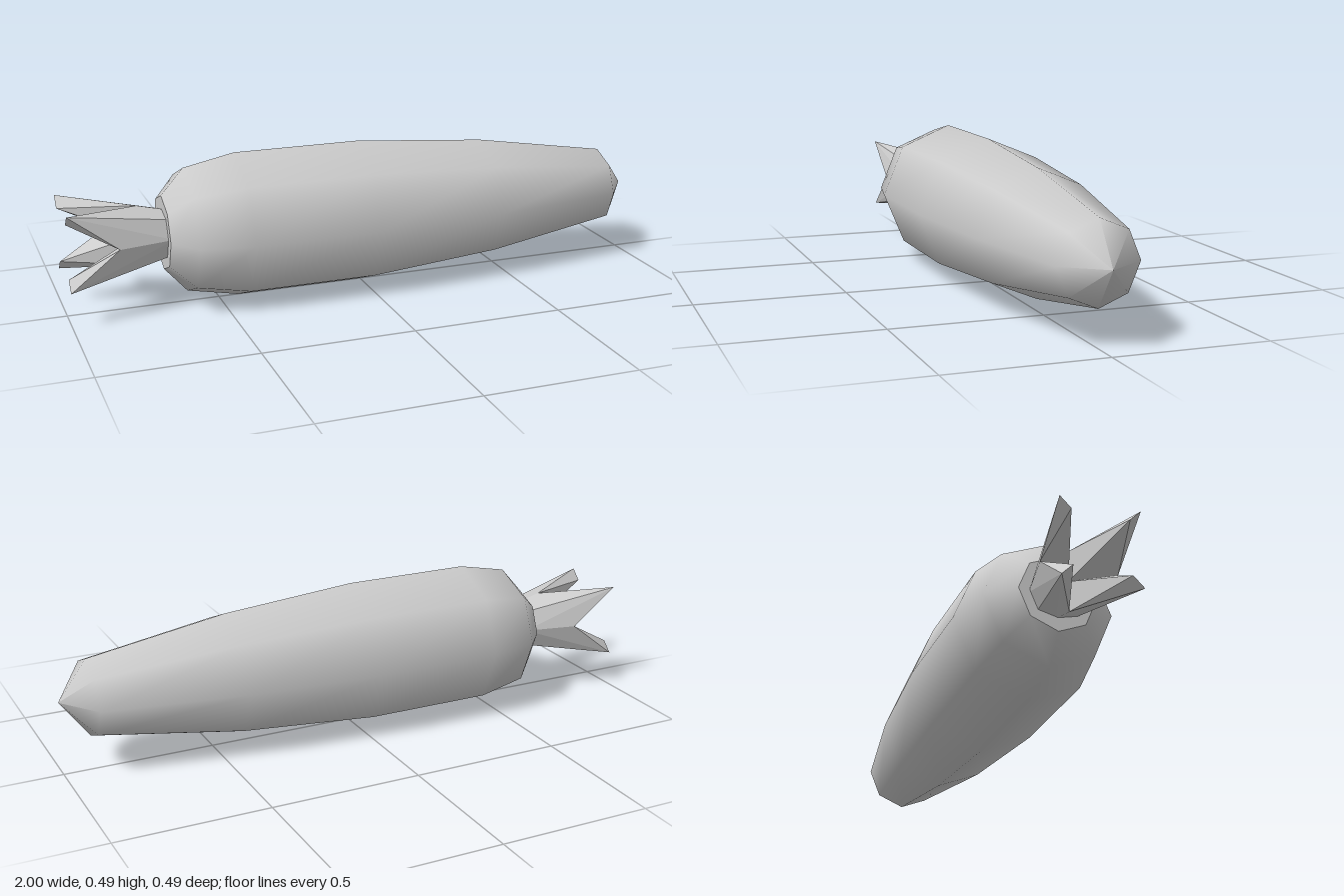
import * as THREE from 'three';

const AXIS_Y = 0.245;

// One quarter of the leafy top; sy and sz mirror it into its quadrant.
function leafGeometry(sy, sz) {
  const p = {
    topBase: [-0.66, 0.075, 0],
    sideBase: [-0.66, 0, 0.085],
    ridgeBase: [-0.66, 0.06, 0.06],
    topValley: [-0.76, 0.1, 0],
    sideValley: [-0.84, 0, 0.122],
    core: [-0.76, 0, 0],
    tipOuter: [-1, 0.125, 0.125],
    tipInner: [-1, 0.09, 0.09],
  };
  const faces = [
    // outer skin
    ['topBase', 'topValley', 'tipOuter'],
    ['topBase', 'tipOuter', 'ridgeBase'],
    ['sideBase', 'ridgeBase', 'tipOuter'],
    ['sideBase', 'tipOuter', 'sideValley'],
    // inner sides of the split
    ['topValley', 'core', 'tipInner'],
    ['topValley', 'tipInner', 'tipOuter'],
    ['sideValley', 'tipOuter', 'tipInner'],
    ['sideValley', 'tipInner', 'core'],
  ];
  const positions = [];
  for (const face of faces) {
    const order = sy * sz > 0 ? face : [...face].reverse();
    for (const key of order) {
      const [x, y, z] = p[key];
      positions.push(x, y * sy, z * sz);
    }
  }
  const geometry = new THREE.BufferGeometry();
  geometry.setAttribute('position', new THREE.Float32BufferAttribute(positions, 3));
  geometry.computeVertexNormals();
  return geometry;
}

export function createModel() {
  const model = new THREE.Group();
  model.name = 'carrot';
  const smooth = new THREE.MeshStandardMaterial({ color: 0xcccccc });
  const flat = new THREE.MeshStandardMaterial({
    color: 0xcccccc, flatShading: true, side: THREE.DoubleSide,
  });

  // Eight-sided root, turned so its tip points along +x
  const profile = [
    [0.125, -0.68], [0.21, -0.605], [0.245, -0.435], [0.245, -0.01],
    [0.207, 0.44], [0.13, 0.905], [0, 1],
  ].map(([r, x]) => new THREE.Vector2(r, x));
  const root = new THREE.Mesh(new THREE.LatheGeometry(profile, 8), smooth);
  root.name = 'root';
  root.rotation.z = -Math.PI / 2;
  root.position.y = AXIS_Y;
  model.add(root);

  // Flat end of the root under the leaves
  const crown = new THREE.Mesh(new THREE.CircleGeometry(0.125, 8), flat);
  crown.name = 'crown';
  crown.rotation.y = -Math.PI / 2;
  crown.position.set(-0.68, AXIS_Y, 0);
  model.add(crown);

  // Four leaves splaying to the corners
  const leaves = new THREE.Group();
  leaves.name = 'leaves';
  leaves.position.y = AXIS_Y;
  for (const sy of [1, -1]) {
    for (const sz of [1, -1]) {
      const leaf = new THREE.Mesh(leafGeometry(sy, sz), flat);
      leaf.name = `${sy > 0 ? 'upper' : 'lower'}${sz > 0 ? 'Front' : 'Back'}Leaf`;
      leaves.add(leaf);
    }
  }
  model.add(leaves);
  return model;
}
